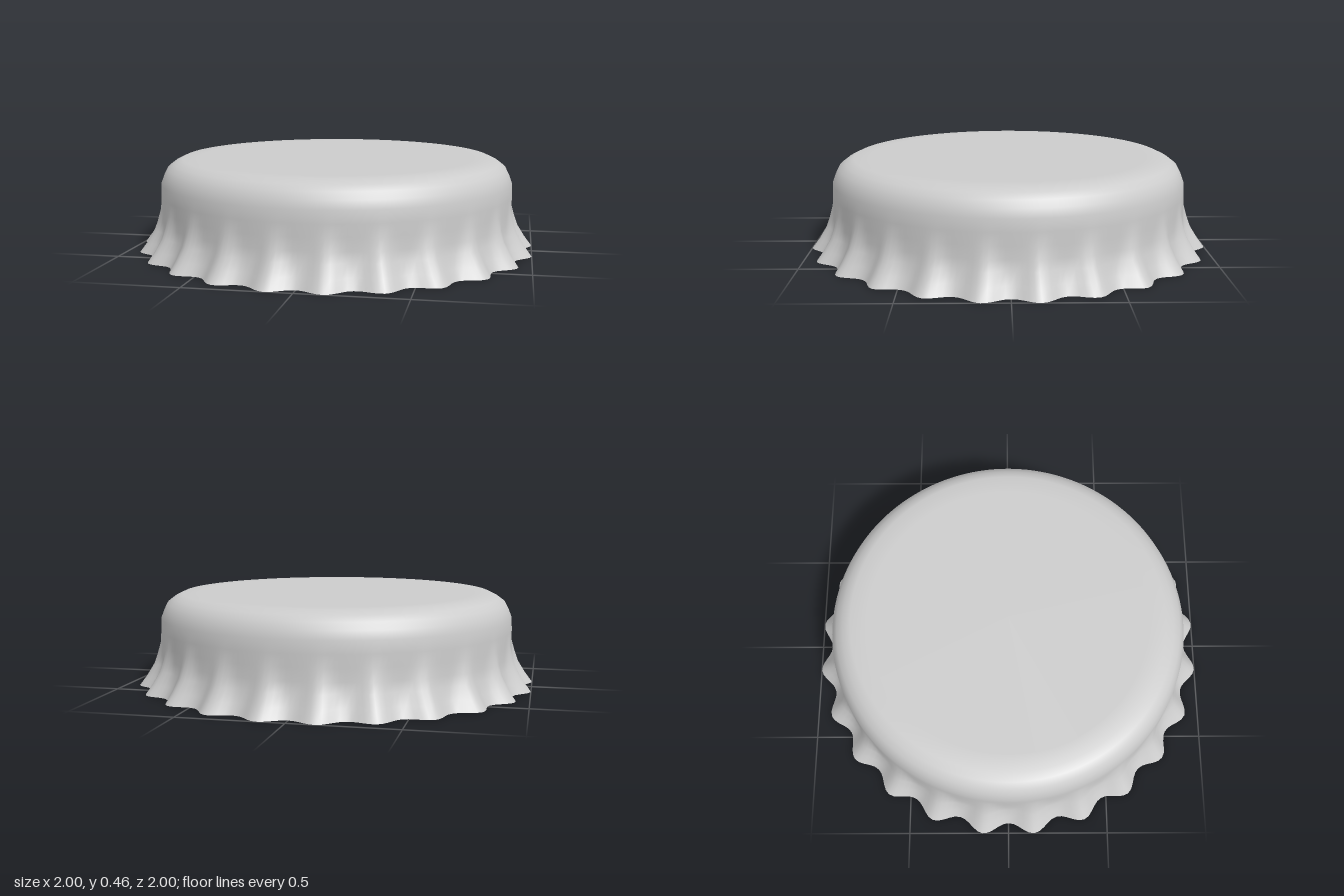
import * as THREE from 'three';

const FLUTES = 24, STEPS = 10, N = FLUTES * STEPS;

// Cross-sections from rim to top: height, valley radius, ridge radius, ridge sharpness
const RINGS = [
  [0, 0.95, 1.0086, 1.1],
  [0.05, 0.924, 0.971, 1.3],
  [0.11, 0.902, 0.934, 1.7],
  [0.16, 0.896, 0.916, 2.5],
  [0.22, 0.895, 0.899, 4],
  [0.28, 0.895, 0.895, 1],
  [0.34, 0.893, 0.893, 1],
  [0.38, 0.878, 0.878, 1],
  [0.415, 0.86, 0.86, 1],
  [0.44, 0.827, 0.827, 1],
  [0.46, 0.785, 0.785, 1],
  [0.46, 0.7, 0.7, 1],
];

// One closed ring of points; ridges sit half a flute off the axes
function ringPoints([y, valley, ridge, sharp]) {
  const points = [];
  for (let i = 0; i < N; i++) {
    const a = (i / N) * Math.PI * 2;
    const w = Math.max(0, 0.5 - 0.5 * Math.cos(a * FLUTES)) ** sharp;
    const r = valley + (ridge - valley) * w;
    points.push(r * Math.sin(a), y, r * Math.cos(a));
  }
  return points;
}

function buildGeometry(positions, index) {
  const g = new THREE.BufferGeometry();
  g.setAttribute('position', new THREE.Float32BufferAttribute(positions, 3));
  g.setIndex(index);
  g.computeVertexNormals();
  return g;
}

export function createModel() {
  const group = new THREE.Group();
  group.name = 'bottleCap';
  const metal = new THREE.MeshStandardMaterial({ color: 0xcccccc });
  metal.name = 'light grey metal';

  // Crimped skirt, rounded shoulder and flat top as one smooth skin
  const positions = RINGS.flatMap(ringPoints);
  const index = [];
  const last = RINGS.length - 1;
  const centre = RINGS.length * N;
  positions.push(0, 0.46, 0);
  for (let i = 0; i < N; i++) {
    const k = (i + 1) % N;
    for (let j = 0; j < last; j++) {
      const a = j * N + i, b = j * N + k;
      index.push(a, b, b + N, a, b + N, a + N);
    }
    index.push(last * N + i, last * N + k, centre);
  }
  const shell = new THREE.Mesh(buildGeometry(positions, index), metal);
  shell.name = 'crimpedShell';
  group.add(shell);

  // Flat underside following the scalloped rim
  const basePositions = [...ringPoints(RINGS[0]), 0, 0, 0];
  const baseIndex = [];
  for (let i = 0; i < N; i++) baseIndex.push((i + 1) % N, i, N);
  const base = new THREE.Mesh(buildGeometry(basePositions, baseIndex), metal);
  base.name = 'underside';
  group.add(base);

  return group;
}
